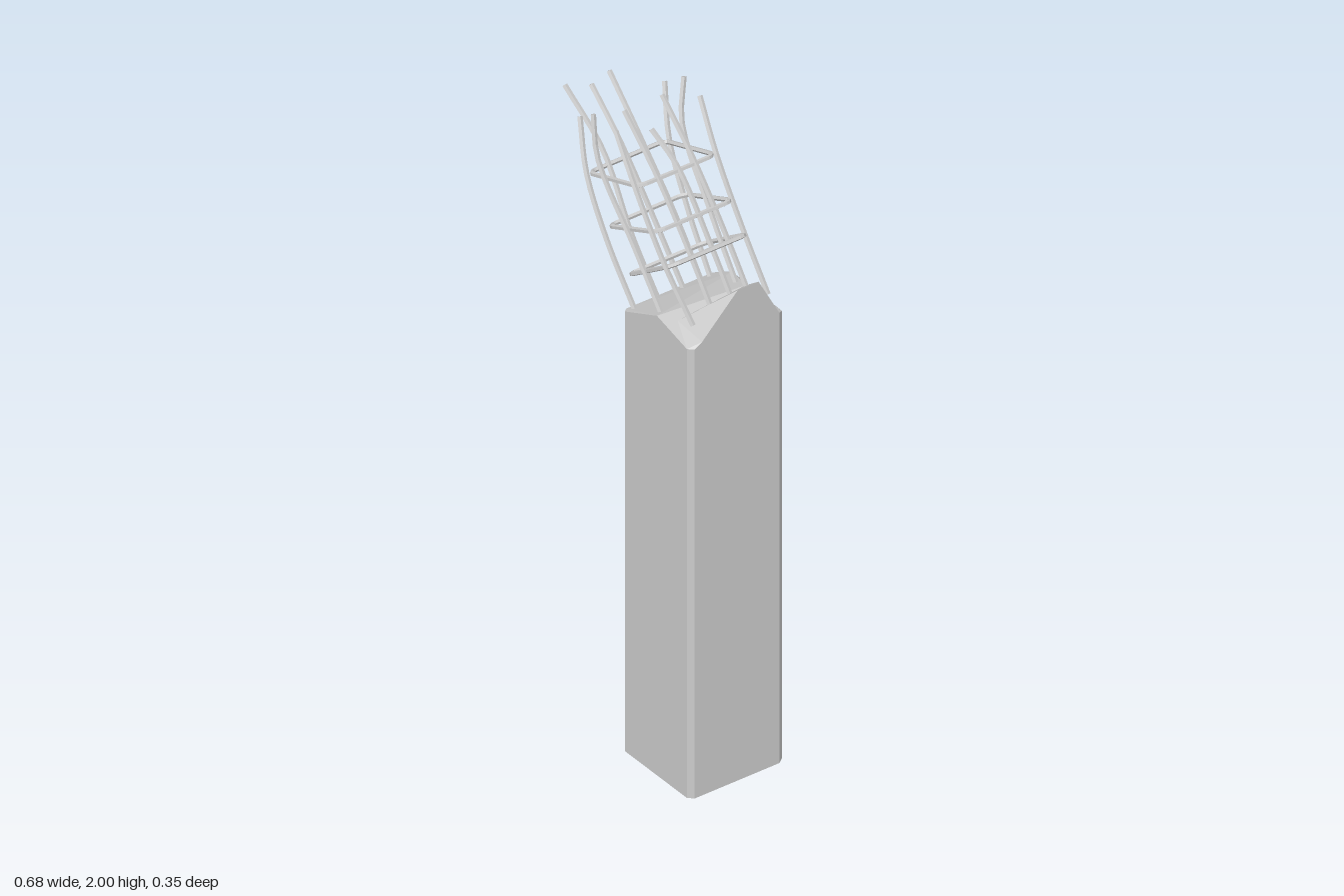
import * as THREE from 'three';

const concrete = new THREE.MeshStandardMaterial({ color: 0xcccccc, flatShading: true });
const steel = new THREE.MeshStandardMaterial({ color: 0xcccccc, flatShading: true, side: THREE.DoubleSide });
const V = (x, y, z) => new THREE.Vector3(x, y, z);

// Broken column: chamfered outline, each point with its own height, and a fractured top
function createColumn() {
  const rim = [
    [0.03, 1.43, 0.155], [0.045, 1.435, 0.17], [0.19, 1.5, 0.17], [0.325, 1.465, 0.17],
    [0.34, 1.465, 0.155], [0.34, 1.48, 0.13], [0.34, 1.6, 0.01], [0.34, 1.6, -0.06],
    [0.34, 1.47, -0.13], [0.325, 1.46, -0.15], [0.1, 1.465, -0.15], [0.045, 1.435, -0.15],
    [0.03, 1.43, -0.135],
  ];
  const n = rim.length, B = n, C = n + 1;
  const top = [...rim, [0.23, 1.49, 0.13], [0.215, 1.5, -0.11]];
  const pos = [];
  const tri = (...pts) => pts.forEach((p) => pos.push(...p));
  const ground = (p) => [p[0], 0, p[2]];

  // walls and underside
  for (let i = 0; i < n; i++) {
    const a = rim[i], b = rim[(i + 1) % n];
    tri(ground(a), ground(b), b);
    tri(ground(a), b, a);
    if (i > 0 && i < n - 1) tri(ground(rim[0]), ground(b), ground(a));
  }
  // fracture facets
  [
    [0, 1, 2], [2, 3, B], [3, 5, B], [3, 4, 5], [B, 5, 6], [B, 6, C], [6, 7, C], [C, 7, 8],
    [C, 8, 9], [C, 9, 10], [2, B, C], [2, C, 10], [0, 2, 10], [0, 10, 12], [10, 11, 12],
  ].forEach((f) => tri(...f.map((i) => top[i])));

  const geo = new THREE.BufferGeometry();
  geo.setAttribute('position', new THREE.Float32BufferAttribute(pos, 3));
  geo.computeVertexNormals();
  const mesh = new THREE.Mesh(geo, concrete);
  mesh.name = 'brokenColumn';
  return mesh;
}

// Bent steel bar through a few points, closed at both ends
function createBar(points, name) {
  const bar = new THREE.Group();
  bar.name = name;
  const curve = new THREE.CatmullRomCurve3(points.map((p) => V(...p)));
  const r = 0.008;
  bar.add(new THREE.Mesh(new THREE.TubeGeometry(curve, 14, r, 5), steel));
  for (const t of [0, 1]) {
    const cap = new THREE.Mesh(new THREE.CircleGeometry(r, 5), steel);
    cap.position.copy(curve.getPoint(t));
    cap.quaternion.setFromUnitVectors(V(0, 0, 1), curve.getTangent(t));
    bar.add(cap);
  }
  bar.children.forEach((m) => (m.name = name));
  return bar;
}

// Rectangular tie with clipped corners, spanning a low and a high edge
function createTie([x0, y0], [x1, y1]) {
  const z0 = -0.12, z1 = 0.137, c = 0.018;
  const f = c / Math.hypot(x1 - x0, y1 - y0);
  const at = (t, z) => V(x0 + (x1 - x0) * t, y0 + (y1 - y0) * t, z);
  const pts = [
    at(f, z0), at(1 - f, z0), at(1, z0 + c), at(1, z1 - c),
    at(1 - f, z1), at(f, z1), at(0, z1 - c), at(0, z0 + c),
  ];
  const path = new THREE.CurvePath();
  pts.forEach((p, i) => path.add(new THREE.LineCurve3(p, pts[(i + 1) % pts.length])));
  // sample just either side of every corner so the straight runs stay straight
  const samples = [];
  path.curves.forEach((l) => samples.push(l.getPoint(0.04), l.getPoint(0.96)));
  const curve = new THREE.CatmullRomCurve3(samples, true, 'catmullrom', 0);
  const mesh = new THREE.Mesh(new THREE.TubeGeometry(curve, 96, 0.007, 5, true), steel);
  mesh.name = 'tie';
  return mesh;
}

export function createModel() {
  const group = new THREE.Group();
  group.add(createColumn());

  const cage = new THREE.Group();
  cage.name = 'reinforcementCage';

  // bars on the lower side: depth at base, middle, bend and tip, then tip height
  [
    [-0.08, -0.07, -0.052, -0.06, 1.92], [-0.02, -0.005, 0.01, 0, 1.9], [0.065, 0.078, 0.07, 0.09, 1.935],
  ].forEach(([a, b, c, d, h]) => cage.add(createBar(
    [[0.06, 1.43, a], [-0.05, 1.6, b], [-0.19, 1.795, c], [-0.335, h, d]], 'lowerBar')));

  // bars on the upper side
  [
    [-0.075, -0.065, -0.05, -0.04, -0.07, 1.995], [-0.02, -0.01, 0.005, 0.025, -0.03, 1.93],
    [0.05, 0.06, 0.075, 0.087, -0.07, 1.995],
  ].forEach(([a, b, c, d, x, h]) => cage.add(createBar(
    [[0.29, 1.5, a], [0.19, 1.66, b], [0.06, 1.85, c], [x, h, d]], 'upperBar')));

  // bars on the back and front sides: depth at base, middle, bend and tip
  const sideRuns = [
    [[0.06, 1.43], [-0.06, 1.61], [-0.16, 1.77], [-0.23, 1.9]],
    [[0.18, 1.47], [0.06, 1.64], [-0.09, 1.86], [-0.128, 1.975]],
    [[0.285, 1.5], [0.18, 1.66], [0.06, 1.84], [-0.04, 1.965]],
  ];
  const sideDepths = {
    backBar: [[-0.11, -0.115, -0.13, -0.168], [-0.11, -0.112, -0.122, -0.157], [-0.132, -0.125, -0.125, -0.145]],
    frontBar: [[0.145, 0.155, 0.148, 0.117], [0.14, 0.148, 0.162, 0.148], [0.12, 0.142, 0.148, 0.138]],
  };
  for (const [name, depths] of Object.entries(sideDepths)) {
    sideRuns.forEach((run, i) => cage.add(createBar(run.map(([x, y], k) => [x, y, depths[i][k]], ), name)));
  }

  // ties around the bars
  cage.add(createTie([-0.165, 1.76], [0.065, 1.84]));
  cage.add(createTie([-0.075, 1.635], [0.145, 1.735]));
  cage.add(createTie([0.015, 1.525], [0.21, 1.66]));

  group.add(cage);
  return group;
}
